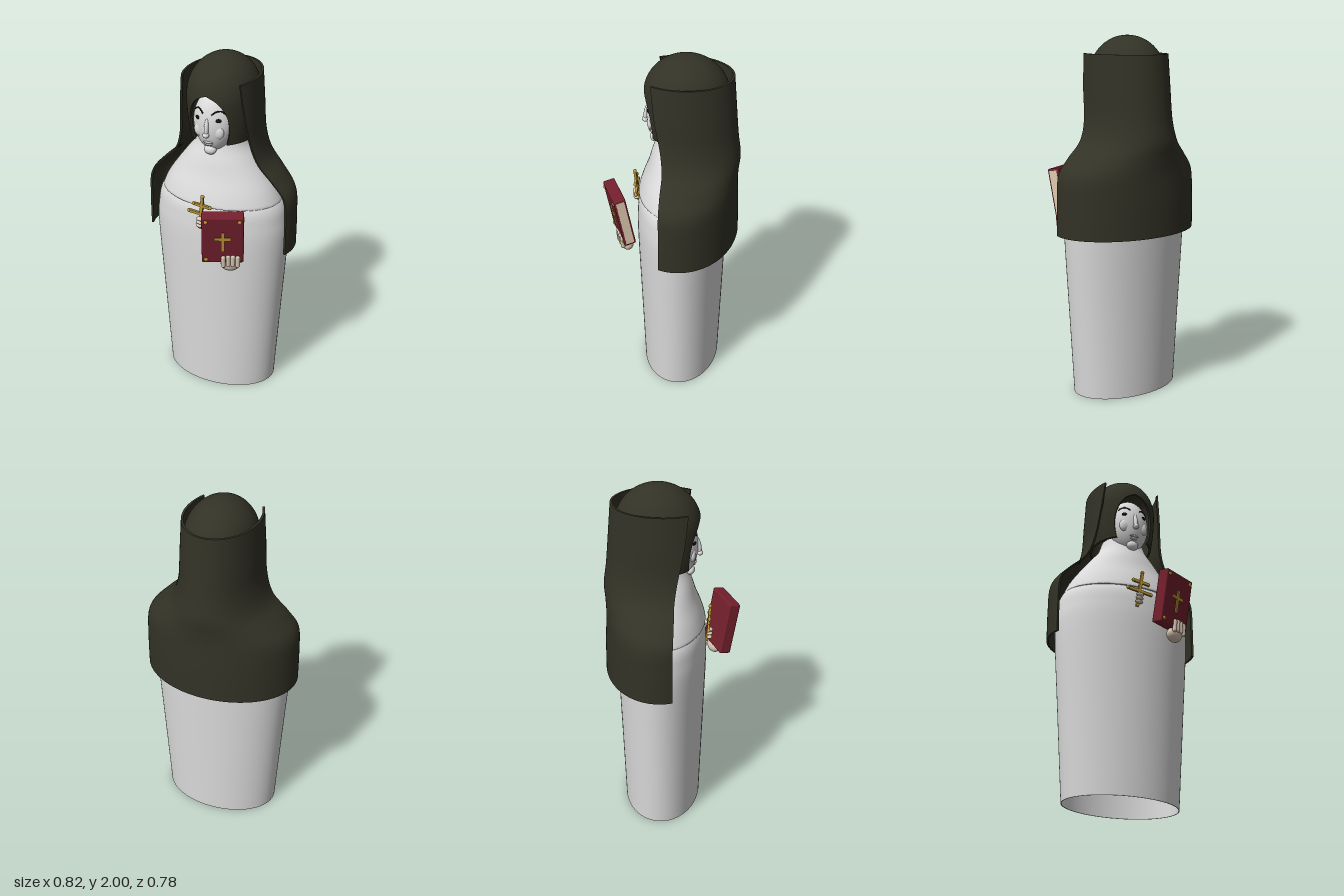
import * as THREE from 'three';
import { toCreasedNormals } from 'three/addons/utils/BufferGeometryUtils.js';
import { RoundedBoxGeometry } from 'three/addons/geometries/RoundedBoxGeometry.js';

const mat = (name, color) => {
  const m = new THREE.MeshStandardMaterial({ color });
  m.name = name;
  return m;
};

// Smooths rows of [y, halfWidth, halfDepth, openingAngle]
function smoothRows(rows, n) {
  const size = new THREE.CatmullRomCurve3(rows.map(r => new THREE.Vector3(r[0], r[1], r[2])));
  const open = new THREE.CatmullRomCurve3(rows.map(r => new THREE.Vector3(r[3], 0, 0)));
  size.curveType = open.curveType = 'catmullrom';
  return Array.from({ length: n + 1 }, (_, i) => {
    const p = size.getPoint(i / n);
    return [p.x, p.y, p.z, open.getPoint(i / n).x];
  });
}

// Thick elliptical wall, rows from bottom to top, with a front opening
function shell(rows, thick, n = 72) {
  const pos = [], idx = [], m = 2 * (n + 1);
  for (const [y, a, b, phi] of rows) {
    for (let k = 0; k < m; k++) {
      const inner = k > n, i = inner ? m - 1 - k : k;
      const t = phi - (i / n) * (Math.PI + 2 * phi), d = inner ? thick : 0;
      pos.push(Math.max(a - d, 0.0005) * Math.cos(t), y, Math.max(b - d, 0.0005) * Math.sin(t));
    }
  }
  const quad = (a, b, c, d) => idx.push(a, b, c, a, c, d);
  for (let r = 0; r < rows.length - 1; r++) {
    for (let k = 0; k < m; k++) {
      const j = (k + 1) % m;
      quad(r * m + k, r * m + j, (r + 1) * m + j, (r + 1) * m + k);
    }
  }
  const top = (rows.length - 1) * m;
  for (let i = 0; i < n; i++) {
    quad(top + i, top + i + 1, top + m - 2 - i, top + m - 1 - i);
    quad(i + 1, i, m - 1 - i, m - 2 - i);
  }
  const g = new THREE.BufferGeometry();
  g.setAttribute('position', new THREE.Float32BufferAttribute(pos, 3));
  g.setIndex(idx);
  return toCreasedNormals(g, 0.7);
}

export function createModel() {
  const white = mat('white cloth', 0xdcdcdc), dark = mat('dark veil', 0x333226);
  const red = mat('red cover', 0x75202d), page = mat('pages', 0xe2cdb4);
  const skin = mat('skin', 0xd9c5b2), gold = mat('gold', 0xc09a35);
  const black = mat('black', 0x15130f), lip = mat('lips', 0xcfbfbf);

  const model = new THREE.Group();
  const figure = new THREE.Group();
  figure.name = 'figure';
  figure.position.z = -0.045;
  figure.rotation.y = -0.497;
  model.add(figure);

  const add = (parent, name, geo, material, x = 0, y = 0, z = 0) => {
    const mesh = new THREE.Mesh(geo, material);
    mesh.name = name;
    mesh.position.set(x, y, z);
    parent.add(mesh);
    return mesh;
  };
  const ball = (parent, name, material, x, y, z, sx, sy, sz) => {
    const mesh = add(parent, name, new THREE.SphereGeometry(1, 24, 16), material, x, y, z);
    mesh.scale.set(sx, sy, sz);
    return mesh;
  };
  const full = Math.PI / 2, closed = r => [...r, full];

  // Robe, hollow and open at the hem
  add(figure, 'robe', shell(smoothRows([
    [0, 0.33, 0.22], [0.5, 0.363, 0.235], [0.95, 0.392, 0.248], [1.1, 0.384, 0.245],
    [1.18, 0.365, 0.235], [1.24, 0.32, 0.205]].map(closed), 24), 0.004), white);

  // Shoulder cape with a rolled lower edge, rising to the neck
  add(figure, 'shoulderCape', shell(smoothRows([
    [1.205, 0.335, 0.222], [1.2, 0.35, 0.238], [1.215, 0.347, 0.238], [1.28, 0.315, 0.218],
    [1.36, 0.26, 0.188], [1.44, 0.2, 0.165], [1.51, 0.145, 0.14], [1.58, 0.12, 0.12]].map(closed), 28), 0.01), white);

  // Long outer veil, open at the front
  add(figure, 'veil', shell(smoothRows([
    [0.92, 0.435, 0.315, 0.26], [1.1, 0.435, 0.312, 0.26], [1.25, 0.425, 0.305, 0.27],
    [1.34, 0.355, 0.308, 0.27], [1.43, 0.265, 0.315, 0.26], [1.55, 0.225, 0.3, 0.33],
    [1.72, 0.215, 0.285, 0.47], [1.9, 0.205, 0.27, 0.58]], 42), 0.012), dark);

  // Domed hood with an oval face opening
  const hoodRows = [];
  for (let i = 0; i <= 56; i++) {
    const y = 1.55 + 0.45 * Math.sin(i / 56 * full);
    const u = (y - 1.78) / 0.22;
    const f = u > 0 ? Math.sqrt(Math.max(0, 1 - u * u)) : 1 - 0.1 * u * u;
    const a = 0.195 * f + 0.001, b = 0.228 * f + 0.001;
    const v = (y - 1.66) / (y > 1.66 ? 0.165 : 0.2);
    const w = 0.115 * Math.sqrt(Math.max(0, 1 - v * v));
    hoodRows.push([y, a, b, Math.acos(Math.min(1, w / a))]);
  }
  add(figure, 'hood', shell(hoodRows, 0.012), dark, 0, 0, -0.02);

  // Face tapering to the chin
  const faceGeo = new THREE.SphereGeometry(1, 40, 32), fp = faceGeo.attributes.position;
  for (let i = 0; i < fp.count; i++) {
    const y = fp.getY(i), t = Math.max(0, -y);
    fp.setX(i, fp.getX(i) * (1 - 0.22 * t * t));
  }
  faceGeo.scale(0.117, 0.172, 0.1);
  faceGeo.computeVertexNormals();
  const head = new THREE.Group();
  head.name = 'head';
  head.position.set(0, 1.655, 0.095);
  figure.add(head);
  add(head, 'face', faceGeo, white);
  const faceZ = (x, y) => 0.1 * Math.sqrt(Math.max(0, 1 - (x / 0.117) ** 2 - (y / 0.172) ** 2));

  // Nose, chin and mouth
  ball(head, 'noseBridge', white, 0, -0.005, 0.1, 0.013, 0.055, 0.016).rotation.x = -0.16;
  ball(head, 'noseTip', white, 0, -0.043, 0.108, 0.018, 0.015, 0.018);
  ball(head, 'chin', white, 0, -0.145, 0.058, 0.035, 0.028, 0.025);
  ball(head, 'upperLip', lip, 0, -0.094, 0.083, 0.028, 0.007, 0.009);
  ball(head, 'lowerLip', lip, 0, -0.107, 0.078, 0.022, 0.008, 0.009);
  for (const s of [-1, 1]) {
    ball(head, 'cheek', white, s * 0.055, -0.03, 0.07, 0.032, 0.04, 0.02);
    ball(head, 'eye', black, s * 0.062, 0.04, faceZ(0.062, 0.04), 0.015, 0.011, 0.006).rotation.y = s * 0.5;
    const brow = [[0.025, 0.07], [0.048, 0.087], [0.07, 0.088], [0.088, 0.072]].map(
      ([x, y]) => new THREE.Vector3(s * x, y, faceZ(x, y) + 0.001));
    add(head, 'eyebrow', new THREE.TubeGeometry(new THREE.CatmullRomCurve3(brow), 16, 0.004, 6), black);
  }

  // Book leaning forward
  const book = new THREE.Group();
  book.name = 'book';
  book.position.set(-0.017, 1.1, 0.323);
  book.rotation.set(0.18, -0.05, 0, 'YXZ');
  model.add(book);
  add(book, 'cover', new RoundedBoxGeometry(0.225, 0.31, 0.066, 3, 0.008), red);
  add(book, 'pages', new THREE.BoxGeometry(0.008, 0.284, 0.046), page, 0.11);
  add(book, 'crossUpright', new THREE.BoxGeometry(0.018, 0.13, 0.009), gold, 0, -0.005, 0.035);
  add(book, 'crossArm', new THREE.BoxGeometry(0.09, 0.018, 0.009), gold, 0, 0.015, 0.035);
  for (const x of [-0.09, 0.09]) for (const y of [-0.13, 0.13])
    ball(book, 'cornerStud', gold, x, y, 0.033, 0.011, 0.011, 0.007);

  // Hand holding the book from below
  ball(book, 'palm', skin, 0.042, -0.182, 0.008, 0.053, 0.042, 0.036);
  for (let i = 0; i < 4; i++) {
    const finger = add(book, 'finger', new THREE.CapsuleGeometry(0.0125, 0.052, 6, 12), skin,
      0.004 + i * 0.026, -0.143 + (i % 3 ? 0.005 : 0), 0.036);
    finger.rotation.x = -0.12;
  }

  // Two-barred cross held in front of the chest
  const crucifix = new THREE.Group();
  crucifix.name = 'handCross';
  crucifix.position.set(-0.127, 1.175, 0.18);
  crucifix.rotation.set(0.08, -0.46, -0.12, 'YXZ');
  model.add(crucifix);
  add(crucifix, 'upright', new THREE.BoxGeometry(0.016, 0.21, 0.014), gold);
  [[0.045, 0.095], [-0.01, 0.145]].forEach(([y, w]) => {
    add(crucifix, 'bar', new THREE.BoxGeometry(w, 0.016, 0.012), gold, 0, y);
    for (const s of [-1, 1]) ball(crucifix, 'barEnd', gold, s * w / 2, y, 0, 0.01, 0.011, 0.009);
  });
  ball(crucifix, 'topEnd', gold, 0, 0.105, 0, 0.011, 0.01, 0.01);
  for (let i = 0; i < 3; i++)
    ball(crucifix, 'holdingFinger', skin, 0.002, -0.035 - i * 0.022, 0.012, 0.022, 0.011, 0.016);

  return model;
}
